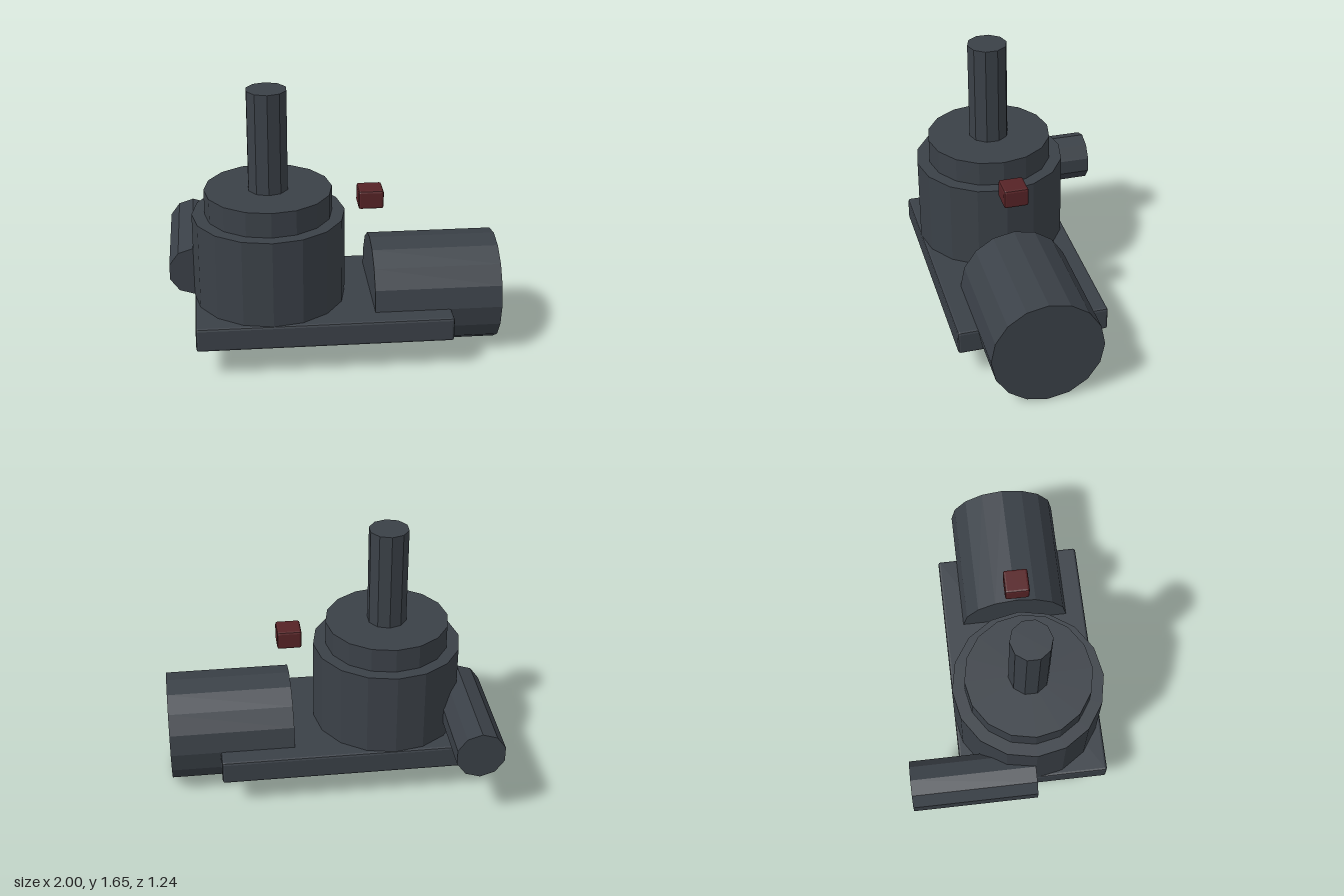
import * as THREE from 'three';
import { RoundedBoxGeometry } from 'three/addons/geometries/RoundedBoxGeometry.js';

export function createModel() {
  const group = new THREE.Group();
  const steel = new THREE.MeshStandardMaterial({ name: 'dark steel', color: 0x3a4047, flatShading: true });
  const red = new THREE.MeshStandardMaterial({ name: 'dark red', color: 0x562326, flatShading: true });

  const add = (name, geometry, material, x, y, z) => {
    const mesh = new THREE.Mesh(geometry, material);
    mesh.name = name;
    mesh.position.set(x, y, z);
    group.add(mesh);
    return mesh;
  };
  const drum = (radius, length, sides) => new THREE.CylinderGeometry(radius, radius, length, sides);
  const slab = (w, h, d, bevel) => new RoundedBoxGeometry(w, h, d, 1, bevel);

  const axisX = -0.39, axisZ = 0.155;

  // Mounting plate
  add('basePlate', slab(1.54, 0.15, 0.925, 0.015), steel, -0.08, 0.265, axisZ);

  // Upright housing: body, stepped cap and vertical pipe
  add('housing', drum(0.4625, 0.54, 16), steel, axisX, 0.61, axisZ);
  add('housingCap', drum(0.385, 0.154, 16), steel, axisX, 0.957, axisZ);
  add('outletPipe', drum(0.123, 0.621, 10), steel, axisX, 1.3445, axisZ);

  // Horizontal pipe running to the back
  add('inletPipe', drum(0.154, 0.77, 10), steel, -0.854, 0.495, -0.233).rotation.x = Math.PI / 2;

  // Motor lying across the end of the plate
  add('motor', drum(0.34, 0.773, 16), steel, 0.6135, 0.34, axisZ).rotation.z = Math.PI / 2;

  // Floating control block
  add('controlBlock', slab(0.152, 0.117, 0.152, 0.014), red, 0.226, 0.959, axisZ);

  return group;
}
